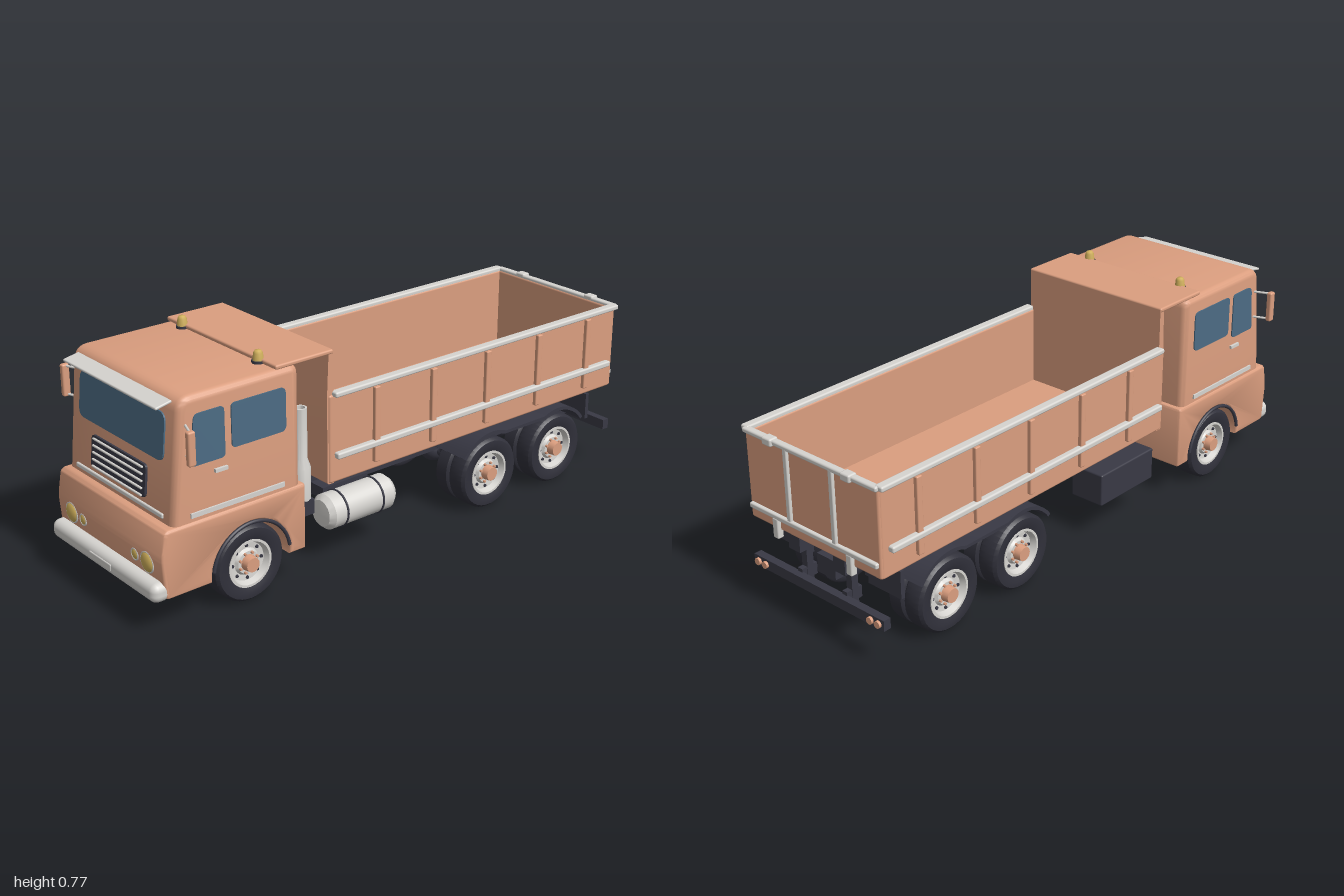
import * as THREE from 'three';
import { toCreasedNormals } from 'three/addons/utils/BufferGeometryUtils.js';
import { RoundedBoxGeometry } from 'three/addons/geometries/RoundedBoxGeometry.js';

export function createModel() {
  const truck = new THREE.Group();
  truck.name = 'tipperTruck';
  const mat = (name, color) => { const m = new THREE.MeshStandardMaterial({ color }); m.name = name; return m; };
  const paint = mat('orange paint', 0xdb9e7f);
  const dark = mat('dark chassis', 0x393945);
  const rubber = mat('tyre rubber', 0x30303a);
  const chrome = mat('pale metal', 0xd6d4d0);
  const glass = mat('window glass', 0x4d6c84);
  const lamp = mat('amber lamp', 0xd0b05c);

  const add = (name, geo, m, x = 0, y = 0, z = 0, parent = truck) => {
    const mesh = new THREE.Mesh(geo, m);
    mesh.name = name;
    mesh.position.set(x, y, z);
    parent.add(mesh);
    return mesh;
  };
  // Boxes given by their extents on each axis
  const box = (name, m, x0, x1, y0, y1, z0, z1, r = 0) => add(name,
    r ? new RoundedBoxGeometry(x1 - x0, y1 - y0, z1 - z0, 3, r) : new THREE.BoxGeometry(x1 - x0, y1 - y0, z1 - z0),
    m, (x0 + x1) / 2, (y0 + y1) / 2, (z0 + z1) / 2);
  const rod = (name, m, r, a, b) => {
    const p = new THREE.Vector3(...a), q = new THREE.Vector3(...b);
    const mesh = add(name, new THREE.CylinderGeometry(r, r, p.distanceTo(q), 12), m);
    mesh.position.copy(p).lerp(q, 0.5);
    mesh.quaternion.setFromUnitVectors(new THREE.Vector3(0, 1, 0), q.sub(p).normalize());
    return mesh;
  };
  // Polygon of [a, b, cornerRadius] with softened corners
  const softShape = (pts) => {
    const s = new THREE.Shape(), n = pts.length;
    pts.forEach((p, i) => {
      const c = new THREE.Vector2(p[0], p[1]), r = p[2] || 0;
      const toward = (o) => new THREE.Vector2(o[0], o[1]).sub(c).setLength(r).add(c);
      const a = toward(pts[(i + n - 1) % n]), b = toward(pts[(i + 1) % n]);
      i ? s.lineTo(a.x, a.y) : s.moveTo(a.x, a.y);
      if (r) s.quadraticCurveTo(c.x, c.y, b.x, b.y);
    });
    return s;
  };
  // Side profile (z, y) extruded across x from x0 to x1
  const sideExtrude = (name, shape, m, x0, x1, bevel = 0) => {
    const g = new THREE.ExtrudeGeometry(shape, {
      depth: x1 - x0 - 2 * bevel, bevelEnabled: bevel > 0, bevelSize: bevel, bevelThickness: bevel,
      bevelOffset: -bevel, bevelSegments: 4, curveSegments: 6,
    });
    g.translate(0, 0, bevel - (x1 - x0) / 2);
    g.rotateY(-Math.PI / 2);
    return add(name, toCreasedNormals(g, 0.6), m, (x0 + x1) / 2);
  };
  const plate = (w, h, r, d) => new THREE.ExtrudeGeometry(
    softShape([[-w / 2, -h / 2, r], [w / 2, -h / 2, r], [w / 2, h / 2, r], [-w / 2, h / 2, r]]),
    { depth: d, bevelEnabled: false, curveSegments: 6 });
  const arc = (cz, cy, r, a0, a1, n) => Array.from({ length: n + 1 }, (_, i) => {
    const a = (a0 + (a1 - a0) * i / n) * Math.PI / 180;
    return [cz + r * Math.cos(a), cy + r * Math.sin(a)];
  });

  // Cab: leaning upper shell over a wider lower body with wheel arches
  sideExtrude('cabUpper', softShape([[0.445, 0.3, 0.01], [0.922, 0.3, 0.01], [0.878, 0.735, 0.045], [0.445, 0.735, 0.03]]),
    paint, -0.29, 0.29, 0.022);
  sideExtrude('cabLower', softShape([[0.43, 0.115, 0.01], ...arc(0.64, 0.128, 0.147, 185, -5, 20),
    [0.955, 0.115, 0.015], [0.966, 0.25, 0.02], [0.95, 0.34, 0.02], [0.43, 0.34, 0.01]]), paint, -0.297, 0.297, 0.012);
  box('engineBay', dark, -0.15, 0.15, 0.125, 0.3, 0.46, 0.86);
  const frontZ = (y) => 0.922 - 0.101 * (y - 0.3);
  const onFront = (name, geo, m, x, y, out = 0) => {
    const mesh = add(name, geo, m, x, y, frontZ(y) + out);
    mesh.rotation.x = -0.101;
    return mesh;
  };
  onFront('windscreen', plate(0.464, 0.15, 0.03, 0.008), glass, 0, 0.6, -0.003);
  onFront('grillePanel', plate(0.3, 0.105, 0.015, 0.01), dark, 0, 0.4375, -0.002);
  for (let i = 0; i < 5; i++)
    onFront('grilleBar', new RoundedBoxGeometry(0.276, 0.007, 0.008, 2, 0.003), chrome, 0, 0.392 + i * 0.0223, 0.011);
  onFront('frontTrim', new RoundedBoxGeometry(0.484, 0.016, 0.012, 2, 0.005), chrome, 0, 0.36);
  const visor = add('sunVisor', new RoundedBoxGeometry(0.51, 0.009, 0.058, 2, 0.004), chrome, 0, 0.712, 0.905);
  visor.rotation.x = 0.2;
  box('bumper', chrome, -0.296, 0.296, 0.11, 0.174, 0.93, 0.998, 0.026);
  box('bumperPlate', chrome, -0.062, 0.062, 0.13, 0.155, 0.985, 1.0, 0.004);

  for (const s of [-1, 1]) {
    // Lamps on the front
    for (const [x, r] of [[0.214, 0.033], [0.147, 0.018]]) {
      add('headlight', new THREE.SphereGeometry(r, 20, 12), lamp, s * x, 0.215, 0.961).scale.z = 0.4;
      add('headlightRing', new THREE.TorusGeometry(r, 0.003, 8, 24), chrome, s * x, 0.215, 0.963);
    }
    // Roof beacons
    const beacon = [[0, 0.042], [0.01, 0.041], [0.015, 0.033], [0.018, 0.006]].reverse().map((p) => new THREE.Vector2(...p));
    add('beaconLens', new THREE.LatheGeometry(beacon, 16), lamp, s * 0.2, 0.733, 0.53);
    add('beaconBase', new THREE.CylinderGeometry(0.021, 0.021, 0.01, 16), dark, s * 0.2, 0.738, 0.53);
    // Door windows, trim and handle
    const side = (name, pts, m, t) => sideExtrude(name, softShape(pts), m, s * 0.29 - t, s * 0.29 + t);
    side('frontSideWindow', [[0.725, 0.515, 0.015], [0.848, 0.515, 0.015], [0.832, 0.677, 0.02], [0.725, 0.677, 0.015]], glass, 0.004);
    side('rearSideWindow', [[0.5, 0.535, 0.02], [0.7, 0.535, 0.015], [0.7, 0.677, 0.015], [0.5, 0.677, 0.02]], glass, 0.004);
    side('doorTrim', [[0.51, 0.353], [0.855, 0.353], [0.855, 0.368], [0.51, 0.368]], chrome, 0.006);
    side('doorHandle', [[0.72, 0.475], [0.765, 0.475], [0.765, 0.486], [0.72, 0.486]], chrome, 0.009);
    // Mirrors on two arms
    box('mirror', paint, s * 0.345 - 0.01, s * 0.345 + 0.01, 0.548, 0.656, 0.867, 0.893, 0.006);
    for (const y of [0.555, 0.65]) rod('mirrorArm', chrome, 0.004, [s * 0.28, y, 0.855], [s * 0.345, y, 0.88]);
    // Front arch edging
    const arch = add('frontArchEdge', new THREE.TorusGeometry(0.145, 0.006, 8, 28, Math.PI * 0.9), dark, s * 0.297, 0.128, 0.64);
    arch.rotation.order = 'YXZ';
    arch.rotation.set(0, -Math.PI / 2, Math.PI * 0.05);
  }

  // Load bed
  box('bedFloor', paint, -0.285, 0.285, 0.3, 0.325, -0.97, 0.335, 0.008);
  sideExtrude('headboard', softShape([[0.335, 0.3, 0.01], [0.335, 0.6], [0.328, 0.74], [0.31, 0.74], [0.31, 0.3]]), paint, -0.285, 0.285);
  box('canopy', paint, -0.288, 0.288, 0.734, 0.749, 0.31, 0.53, 0.006);
  box('tailgate', paint, -0.288, 0.288, 0.302, 0.6, -0.98, -0.962, 0.008);
  for (const s of [-1, 1]) {
    const xs = (a, b) => (s > 0 ? [a, b] : [-b, -a]);
    box('bedSide', paint, ...xs(0.272, 0.29), 0.302, 0.6, -0.975, 0.33, 0.008);
    box('topRail', chrome, ...xs(0.274, 0.306), 0.593, 0.611, -0.98, 0.315, 0.006);
    box('middleRail', chrome, ...xs(0.286, 0.31), 0.386, 0.407, -0.95, 0.31, 0.006);
    for (let i = 0; i < 5; i++)
      box('sidePost', paint, ...xs(0.286, 0.304), 0.33, 0.588, -0.842 + i * 0.2435, -0.82 + i * 0.2435, 0.004);
    // Tailgate posts, latches and hinges
    box('tailgatePost', chrome, ...xs(0.09, 0.108), 0.34, 0.6, -0.99, -0.976, 0.004);
    box('tailgateLatch', chrome, ...xs(0.15, 0.19), 0.588, 0.614, -0.998, -0.965, 0.006);
    box('tailgateHinge', chrome, ...xs(0.15, 0.175), 0.275, 0.345, -0.993, -0.97, 0.005);
  }
  box('tailgateTopRail', chrome, -0.29, 0.29, 0.592, 0.609, -0.99, -0.965, 0.006);
  box('tailgateLowerRail', chrome, -0.28, 0.28, 0.34, 0.358, -0.992, -0.974, 0.005);

  // Chassis frame
  for (const s of [-1, 1]) {
    box('chassisRail', dark, s * 0.1 - 0.018, s * 0.1 + 0.018, 0.185, 0.25, -0.86, 0.47);
    box('subframeRail', dark, s * 0.1 - 0.025, s * 0.1 + 0.025, 0.25, 0.302, -0.975, 0.365);
    box('bumperHanger', dark, s * 0.1 - 0.012, s * 0.1 + 0.012, 0.11, 0.26, -0.94, -0.915);
    box('rearPanel', dark, s * 0.2 - 0.07, s * 0.2 + 0.07, 0.19, 0.285, -0.89, -0.875);
    for (const x of [0.235, 0.268]) {
      const l = add('tailLamp', new THREE.CylinderGeometry(0.012, 0.012, 0.012, 16), paint, s * x, 0.15, -0.985);
      l.rotation.x = Math.PI / 2;
    }
    // Leaf springs for the rear axles
    box('leafSpring', dark, s * 0.1 - 0.015, s * 0.1 + 0.015, 0.15, 0.175, -0.75, -0.33, 0.006);
  }
  for (const z of [0.36, 0.0, -0.24, -0.54, -0.84]) box('crossMember', dark, -0.1, 0.1, 0.2, 0.24, z - 0.018, z + 0.018);
  box('lampBar', dark, -0.29, 0.29, 0.132, 0.168, -0.982, -0.955);
  for (const s of [-1, 1]) box('lampBarArm', dark, s * 0.1 - 0.01, s * 0.1 + 0.01, 0.14, 0.18, -0.96, -0.9);
  box('towHitch', dark, -0.04, 0.04, 0.185, 0.25, -0.94, -0.85);

  // Fuel tank, exhaust stack and battery box
  const tankProfile = [[0, -0.145], [0.045, -0.14], [0.06, -0.122], [0.06, 0.122], [0.045, 0.14], [0, 0.145]].map((p) => new THREE.Vector2(...p));
  const tank = add('fuelTank', toCreasedNormals(new THREE.LatheGeometry(tankProfile, 28), 0.6), chrome, 0.225, 0.172, 0.175);
  tank.rotation.x = Math.PI / 2;
  for (const z of [0.25, 0.1]) add('tankStrap', new THREE.TorusGeometry(0.0605, 0.004, 6, 28), dark, 0.225, 0.172, z);
  box('tankBracket', dark, 0.1, 0.18, 0.19, 0.23, 0.08, 0.27);
  const stack = [[0, 0.25], [0.031, 0.25], [0.031, 0.36], [0.021, 0.39], [0.021, 0.56], [0.015, 0.56], [0.015, 0.5], [0, 0.5]].map((p) => new THREE.Vector2(...p));
  add('exhaustStack', toCreasedNormals(new THREE.LatheGeometry(stack, 20), 0.6), chrome, 0.225, 0, 0.393);
  box('exhaustBracket', dark, 0.1, 0.255, 0.2, 0.252, 0.365, 0.425);
  box('batteryBox', dark, -0.29, -0.16, 0.13, 0.245, 0.015, 0.29, 0.006);
  box('batteryBracket', dark, -0.17, -0.1, 0.19, 0.23, 0.06, 0.25);

  // Wheels: tyre, dished rim, hub and bolts, facing out along +x
  const tyreGeo = (w) => {
    const h = w / 2, p = [[0.078, -h * 0.8], [0.1, -h], [0.118, -h * 0.95], [0.127, -h * 0.7], [0.128, 0],
      [0.127, h * 0.7], [0.118, h * 0.95], [0.1, h], [0.078, h * 0.8], [0.076, 0], [0.078, -h * 0.8]];
    return toCreasedNormals(new THREE.LatheGeometry(p.map((q) => new THREE.Vector2(...q)), 40), 0.7).rotateZ(-Math.PI / 2);
  };
  const rimGeo = toCreasedNormals(new THREE.LatheGeometry([[0, -0.03], [0.076, -0.03], [0.08, 0.036], [0.072, 0.036],
    [0.064, 0.016], [0.045, 0.014], [0.038, 0.024], [0, 0.024]].map((q) => new THREE.Vector2(...q)), 32), 0.5).rotateZ(-Math.PI / 2);
  const disc = (r, h, n) => new THREE.CylinderGeometry(r * 0.85, r, h, n).rotateZ(-Math.PI / 2);
  const wheel = (name, s, z, dual) => {
    const g = new THREE.Group();
    g.name = name;
    g.position.set(s * 0.25, 0.128, z);
    if (s < 0) g.rotation.y = Math.PI;
    add('tyre', tyreGeo(0.08), rubber, 0, 0, 0, g);
    if (dual) {
      add('innerTyre', tyreGeo(0.068), rubber, -0.07, 0, 0, g);
      add('innerRim', disc(0.077, 0.04, 28), chrome, -0.07, 0, 0, g);
    }
    add('rim', rimGeo, chrome, 0, 0, 0, g);
    add('hub', disc(0.028, 0.034, 16), paint, 0.033, 0, 0, g);
    for (let i = 0; i < 8; i++) {
      const a = i * Math.PI / 4;
      add('rimHole', disc(0.006, 0.006, 8), dark, 0.0165, 0.055 * Math.cos(a), 0.055 * Math.sin(a), g);
      add('wheelNut', disc(0.005, 0.01, 6), paint, 0.027, 0.034 * Math.sin(a + 0.4), 0.034 * Math.cos(a + 0.4), g);
    }
    truck.add(g);
  };
  for (const z of [0.64, -0.38, -0.705]) {
    for (const s of [-1, 1]) wheel(z > 0 ? 'frontWheel' : 'rearWheel', s, z, z < 0);
    rod('axle', dark, 0.02, [-0.24, 0.128, z], [0.24, 0.128, z]);
    if (z < 0) add('differential', new THREE.SphereGeometry(0.048, 20, 14), dark, 0, 0.128, z);
  }
  rod('driveShaft', dark, 0.014, [0, 0.17, 0.5], [0, 0.13, -0.7]);

  // Rear mudguards arching over both axles
  for (const s of [-1, 1]) {
    const outer = [...arc(-0.38, 0.128, 0.158, 35, 115, 10), ...arc(-0.705, 0.128, 0.158, 65, 145, 10)];
    const inner = [...arc(-0.38, 0.128, 0.146, 35, 115, 10), ...arc(-0.705, 0.128, 0.146, 65, 145, 10)];
    sideExtrude('rearMudguard', softShape([...outer, ...inner.reverse()]), dark, s * 0.217 - 0.077, s * 0.217 + 0.077);
  }
  return truck;
}
